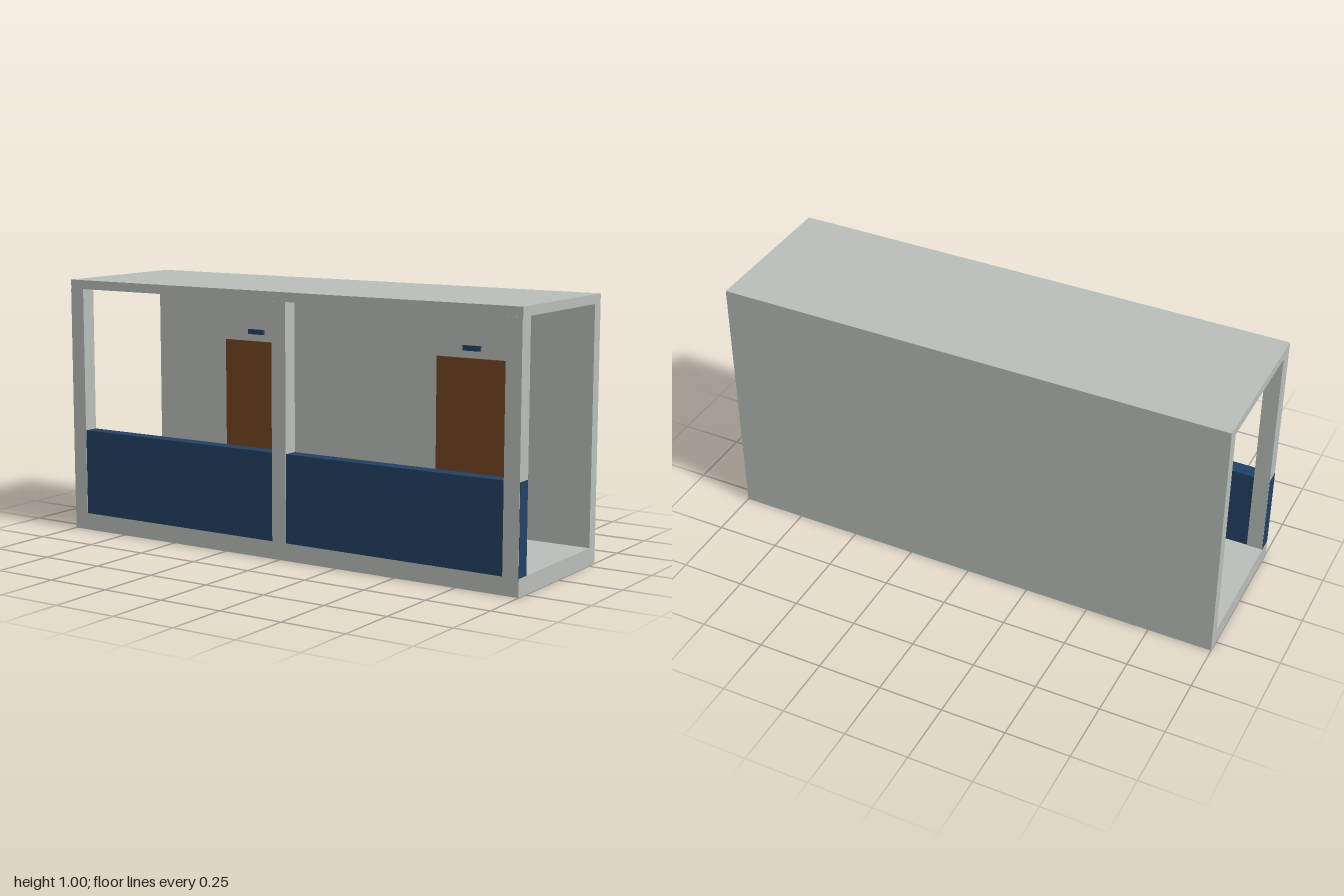
import * as THREE from 'three';

export function createModel() {
  const model = new THREE.Group();
  const concrete = new THREE.MeshStandardMaterial({ color: 0xb9beba });
  concrete.name = 'pale grey concrete';
  const blue = new THREE.MeshStandardMaterial({ color: 0x224163 });
  blue.name = 'dark blue panel';
  const wood = new THREE.MeshStandardMaterial({ color: 0x734522 });
  wood.name = 'brown wood';

  // Box given by its low and high limits on each axis
  function box(name, material, [x0, x1], [y0, y1], [z0, z1]) {
    const mesh = new THREE.Mesh(new THREE.BoxGeometry(x1 - x0, y1 - y0, z1 - z0), material);
    mesh.position.set((x0 + x1) / 2, (y0 + y1) / 2, (z0 + z1) / 2);
    mesh.name = name;
    model.add(mesh);
  }

  const floorTop = 0.067, roofBottom = 0.965;

  // Shell: floor slab, roof slab and back wall, open at both ends
  box('floorSlab', concrete, [-1, 1], [0, floorTop], [-0.3, 0.3]);
  box('roofSlab', concrete, [-1, 1], [roofBottom, 1], [-0.3, 0.3]);
  box('backWall', concrete, [-1, 1], [floorTop, roofBottom], [-0.3, -0.254]);

  // Front posts, standing slightly proud of the balustrade on both faces
  const posts = { rightPost: [-0.999, -0.937], middlePost: [-0.031, 0.031], leftPost: [0.937, 0.999] };
  for (const [name, span] of Object.entries(posts)) {
    box(name, concrete, span, [floorTop, roofBottom], [0.242, 0.302]);
  }

  // Balustrade running the full length and showing at the ends
  box('balustrade', blue, [-1, 1], [floorTop, 0.403], [0.244, 0.3]);

  // One door and a plain plaque above it in each bay
  for (const [side, x] of [['right', -0.5], ['left', 0.5]]) {
    box(side + 'Door', wood, [x - 0.15, x + 0.15], [floorTop, 0.734], [-0.254, -0.246]);
    box(side + 'Plaque', blue, [x - 0.038, x + 0.038], [0.762, 0.782], [-0.254, -0.246]);
  }

  return model;
}
